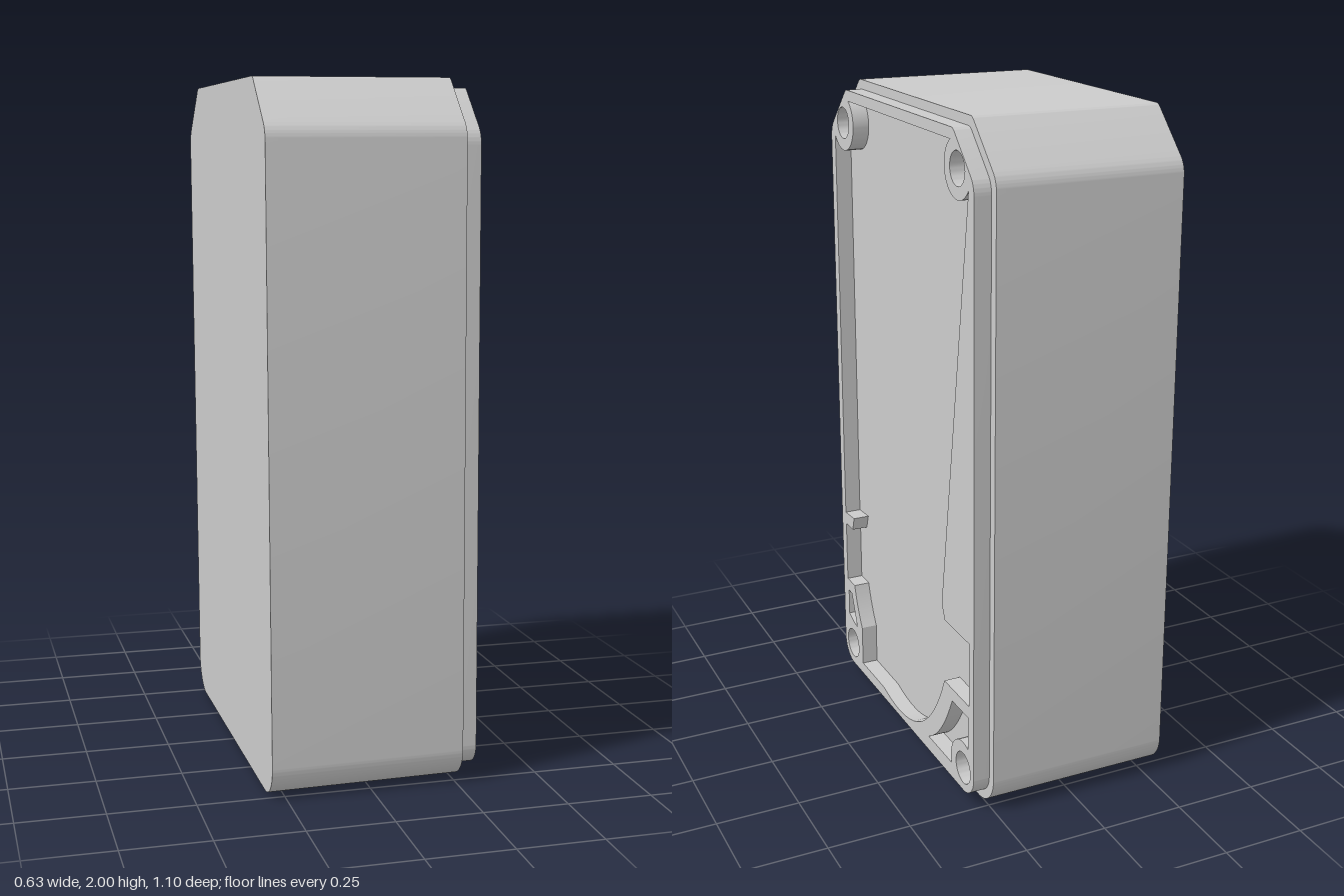
import * as THREE from 'three';
import { toCreasedNormals } from 'three/addons/utils/BufferGeometryUtils.js';

const BACK = -0.305, LEDGE = 0.255, RIM = 0.305;
const rad = THREE.MathUtils.degToRad;

// Case outline: rounded bottom corners, softened chamfers at the top
function outline(inset) {
  const w = 0.541 - inset, top = 1.995 - inset, bot = 0.005 + inset;
  const c = 0.145 - 0.586 * inset, r = 0.1 - inset, e = 0.03;
  const s = new THREE.Shape();
  s.moveTo(-w + r, bot);
  s.lineTo(w - r, bot);
  s.absarc(w - r, bot + r, r, -Math.PI / 2, 0, false);
  s.lineTo(w, top - c - e);
  s.quadraticCurveTo(w, top - c, w - e * 0.7, top - c + e * 0.7);
  s.lineTo(w - c + 0.01, top - 0.01);
  s.quadraticCurveTo(w - c, top, w - c - 0.01, top);
  s.lineTo(-w + c + 0.01, top);
  s.quadraticCurveTo(-w + c, top, -w + c - 0.01, top - 0.01);
  s.lineTo(-w + e * 0.7, top - c + e * 0.7);
  s.quadraticCurveTo(-w, top - c, -w, top - c - e);
  s.lineTo(-w, bot + r);
  s.absarc(-w + r, bot + r, r, Math.PI, Math.PI * 1.5, false);
  return s;
}

// Main recess, leaving the screw bosses, ribs and lower gussets standing
function recess() {
  const p = new THREE.Path();
  p.moveTo(0.48, 0.575);
  p.absarc(0.411, 1.865, 0.083, rad(-33.7), rad(122.5), true);
  p.absarc(-0.411, 1.865, 0.083, rad(57.5), rad(213.7), true);
  p.lineTo(-0.48, 0.57);
  p.lineTo(-0.405, 0.575);
  p.lineTo(-0.42, 0.53);
  p.lineTo(-0.478, 0.53);
  p.lineTo(-0.478, 0.33);
  p.lineTo(-0.415, 0.33);
  p.quadraticCurveTo(-0.395, 0.26, -0.355, 0.2);
  p.lineTo(-0.355, 0.07);
  p.lineTo(-0.17, 0.07);
  p.bezierCurveTo(0.02, 0.02, 0.2, 0.07, 0.31, 0.33);
  p.lineTo(0.48, 0.33);
  p.lineTo(0.48, 0.53);
  p.lineTo(0.315, 0.53);
  p.lineTo(0.295, 0.575);
  p.closePath();
  return p;
}

// Pockets inside the two lower gussets
function pockets() {
  const a = new THREE.Path();
  a.moveTo(-0.47, 0.29);
  a.lineTo(-0.445, 0.29);
  a.lineTo(-0.4, 0.185);
  a.quadraticCurveTo(-0.43, 0.185, -0.47, 0.205);
  a.closePath();
  const b = new THREE.Path();
  b.moveTo(0.365, 0.29);
  b.lineTo(0.474, 0.29);
  b.absarc(0.44, 0.107, 0.085, rad(66), rad(198), false);
  b.lineTo(0.19, 0.08);
  b.quadraticCurveTo(0.29, 0.13, 0.365, 0.29);
  return [a, b];
}

function circle(x, y, r) {
  const p = new THREE.Path();
  p.absarc(x, y, r, 0, Math.PI * 2, false);
  return p;
}

export function createModel() {
  const model = new THREE.Group();
  model.name = 'enclosureHalf';
  const material = new THREE.MeshStandardMaterial({ color: 0xcccccc });

  // The case leans by a fraction of a degree about its centre
  const tilt = new THREE.Group();
  tilt.name = 'case';
  tilt.position.y = 1;
  tilt.rotation.set(0.007, 0.008, 0.008);
  model.add(tilt);

  // Extrudes a shape along +x between two planes
  function slab(name, shape, x0, x1) {
    const geo = new THREE.ExtrudeGeometry(shape, { depth: x1 - x0, bevelEnabled: false, curveSegments: 20 });
    geo.translate(0, -1, x0);
    geo.rotateY(Math.PI / 2);
    const mesh = new THREE.Mesh(toCreasedNormals(geo, rad(30)), material);
    mesh.name = name;
    tilt.add(mesh);
  }

  slab('body', outline(0), BACK, LEDGE);

  // Stepped lip with bosses, ribs and gussets
  const lip = outline(0.028);
  lip.holes.push(recess(), ...pockets());
  for (const side of [-1, 1]) {
    lip.holes.push(circle(side * 0.411, 1.865, 0.047), circle(side * 0.44, 0.107, 0.049));
  }
  slab('lip', lip, LEDGE, RIM);

  // Small locating peg on the floor
  const peg = new THREE.Shape();
  peg.absarc(0.292, 0.735, 0.022, 0, Math.PI * 2, false);
  slab('locatingPeg', peg, LEDGE, LEDGE + 0.02);

  return model;
}
